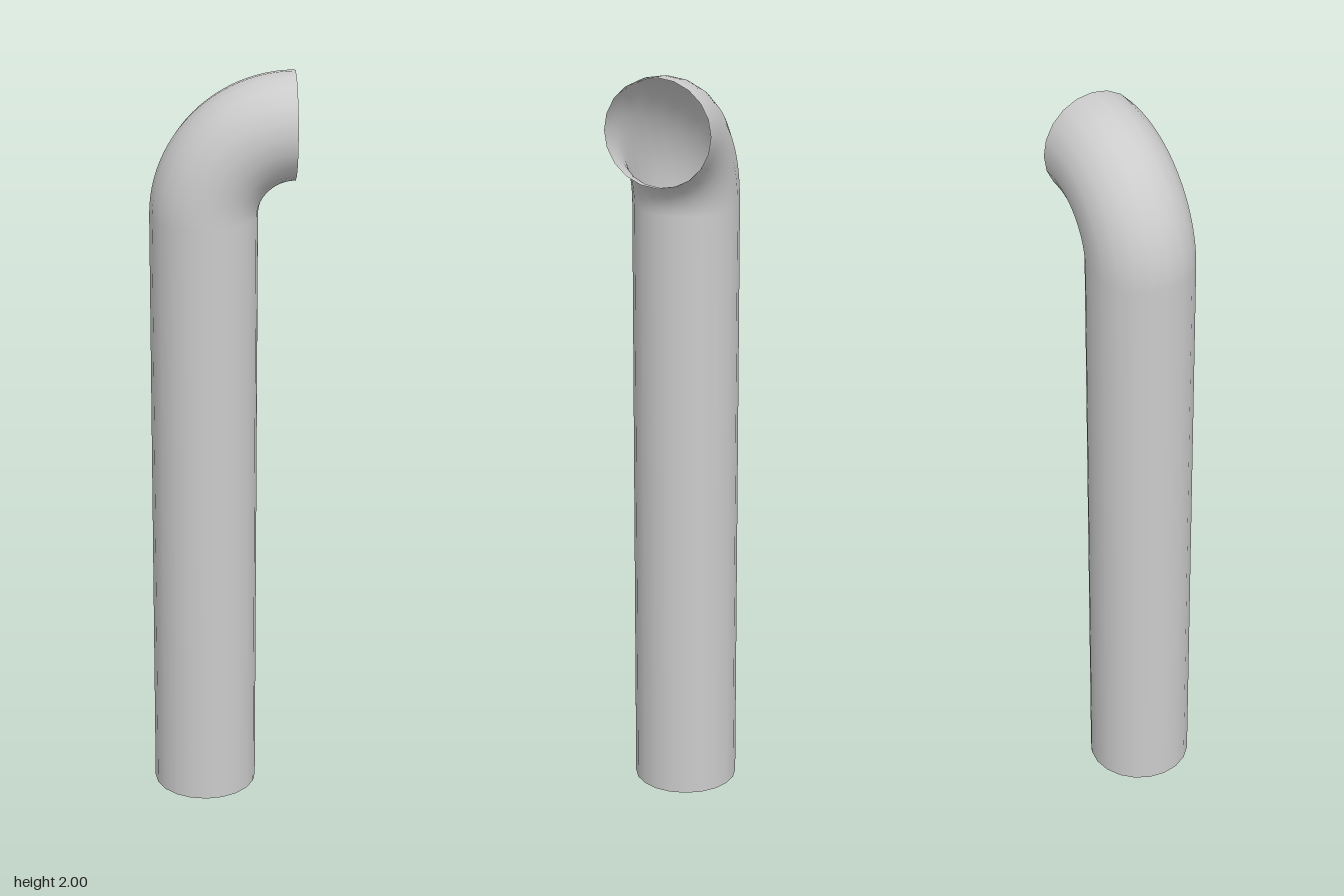
import * as THREE from 'three';

export function createModel() {
  const group = new THREE.Group();
  const material = new THREE.MeshStandardMaterial({ color: 0xcccccc, side: THREE.DoubleSide });

  const pipeRadius = 0.139;
  const bendRadius = 0.2315;
  const sides = 20;
  const endX = 0.185;                          // plane of the open outlet
  const bendY = 2 - bendRadius - pipeRadius;   // where the straight pipe meets the elbow

  // Straight upright pipe, open at the bottom
  const pipe = new THREE.Mesh(
    new THREE.CylinderGeometry(pipeRadius, pipeRadius, bendY, sides, 1, true), material);
  pipe.name = 'uprightPipe';
  pipe.position.set(endX - bendRadius, bendY / 2, 0);
  group.add(pipe);

  // Quarter-turn elbow ending in an open outlet towards +x
  const elbow = new THREE.Mesh(
    new THREE.TorusGeometry(bendRadius, pipeRadius, sides, 24, Math.PI / 2), material);
  elbow.name = 'elbow';
  elbow.position.set(endX, bendY, 0);
  elbow.rotation.z = Math.PI / 2;
  group.add(elbow);

  return group;
}
